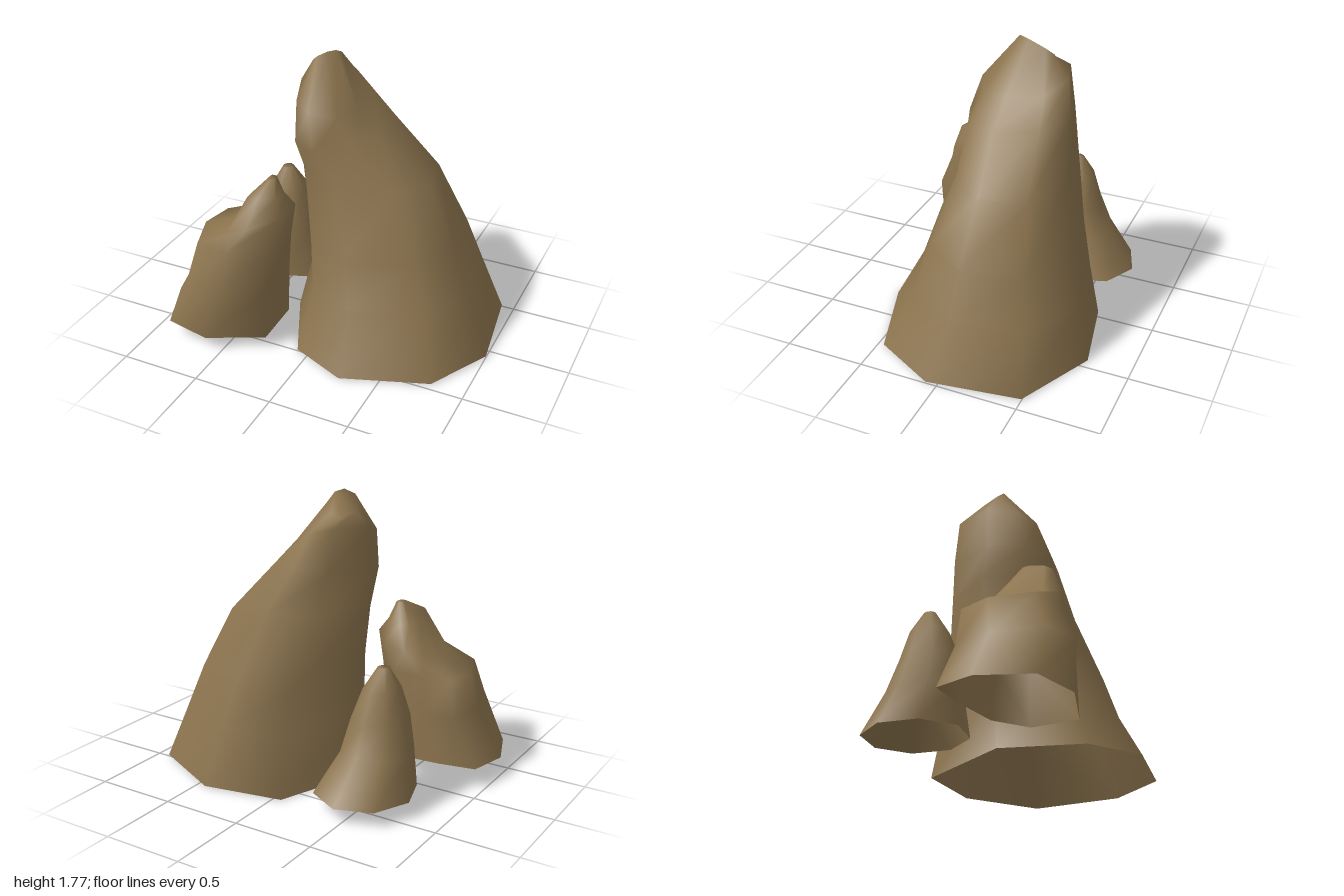
import * as THREE from 'three';

// Double sided, as the rocks are hollow shells open at the bottom
const stone = new THREE.MeshStandardMaterial({ color: 0x8c744e, side: THREE.DoubleSide });
stone.name = 'brownStone';

const SIDES = 8;

// Regular footprint, clockwise from above
const octagon = turn => Array.from({ length: SIDES }, (_, i) => {
  const angle = THREE.MathUtils.degToRad(turn + i * 360 / SIDES);
  return [Math.cos(angle), Math.sin(angle)];
});

// Each rock is an eight-cornered footprint lofted through tilted rings.
// Ring: [y, xMin, xMax, zMin, zMax, rise toward +x, rise toward +z]
const rocks = [
  {
    name: 'largeRock',
    foot: [[1, 0.07], [0.79, 0.46], [0.27, 0.64], [-0.08, 0.49], [-0.3, 0.03], [-0.05, -0.63], [0.44, -0.73], [0.92, -0.5]],
    rings: [
      [0.005, -0.3, 1, -0.73, 0.64, 0.005],
      [0.36, -0.23, 0.84, -0.65, 0.45],
      [0.65, -0.26, 0.73, -0.57, 0.36],
      [1.06, -0.325, 0.54, -0.47, 0.23, -0.04],
      [1.3, -0.32, 0.24, -0.42, 0.26, 0, -0.04],
      [1.51, -0.3, 0.08, -0.37, 0.2, -0.06, -0.05],
      [1.7, -0.24, -0.1, -0.25, -0.02, 0.05, 0.045],
    ],
  },
  {
    name: 'frontRock',
    foot: [[-0.27, 0.55], [-0.6, 0.72], [-0.88, 0.68], [-1, 0.37], [-0.95, 0.11], [-0.72, 0.09], [-0.45, 0.1], [-0.27, 0.24]],
    rings: [
      [0.1, -1, -0.27, 0.09, 0.725, -0.02, -0.015],
      [0.42, -0.84, -0.26, 0.09, 0.7],
      [0.65, -0.8, -0.25, 0.1, 0.6],
      [0.79, -0.6, -0.22, 0.11, 0.53, 0.07],
      [0.95, -0.45, -0.265, 0.19, 0.45, 0, 0.03],
      [1.045, -0.36, -0.315, 0.24, 0.31],
    ],
  },
  {
    name: 'backRock',
    foot: octagon(4),
    rings: [
      [0.095, -0.79, -0.19, -0.72, -0.08],
      [0.33, -0.73, -0.31, -0.55, -0.085],
      [0.52, -0.69, -0.35, -0.47, -0.1],
      [0.7, -0.64, -0.42, -0.41, -0.17],
      [0.82, -0.57, -0.5, -0.33, -0.25],
    ],
  },
];

// Fit the footprint to a ring's extents and tilt it
function ringPoints(foot, [y, x0, x1, z0, z1, riseX = 0, riseZ = 0]) {
  const box = new THREE.Box2().setFromPoints(foot.map(([x, z]) => new THREE.Vector2(x, z)));
  return foot.map(([x, z]) => {
    const u = (x - box.min.x) / (box.max.x - box.min.x);
    const v = (z - box.min.y) / (box.max.y - box.min.y);
    return [
      THREE.MathUtils.lerp(x0, x1, u),
      y + riseX * (2 * u - 1) + riseZ * (2 * v - 1),
      THREE.MathUtils.lerp(z0, z1, v),
    ];
  });
}

// Smooth sides lofted through the rings, closed at the top
function rockGeometry(loops) {
  const index = [];
  const top = (loops.length - 1) * SIDES;
  for (let r = 0; r < top; r += SIDES) {
    for (let i = 0; i < SIDES; i++) {
      const a = r + i, b = r + (i + 1) % SIDES;
      index.push(b, a, a + SIDES, b, a + SIDES, b + SIDES);
    }
  }
  for (let i = 1; i < SIDES - 1; i++) index.push(top, top + i + 1, top + i);
  const geo = new THREE.BufferGeometry();
  geo.setAttribute('position', new THREE.Float32BufferAttribute(loops.flat(2), 3));
  geo.setIndex(index);
  geo.computeVertexNormals();
  return geo;
}

export function createModel() {
  const model = new THREE.Group();
  model.name = 'rockCluster';
  for (const { name, foot, rings } of rocks) {
    const rock = new THREE.Mesh(rockGeometry(rings.map(ring => ringPoints(foot, ring))), stone);
    rock.name = name;
    model.add(rock);
  }
  return model;
}
